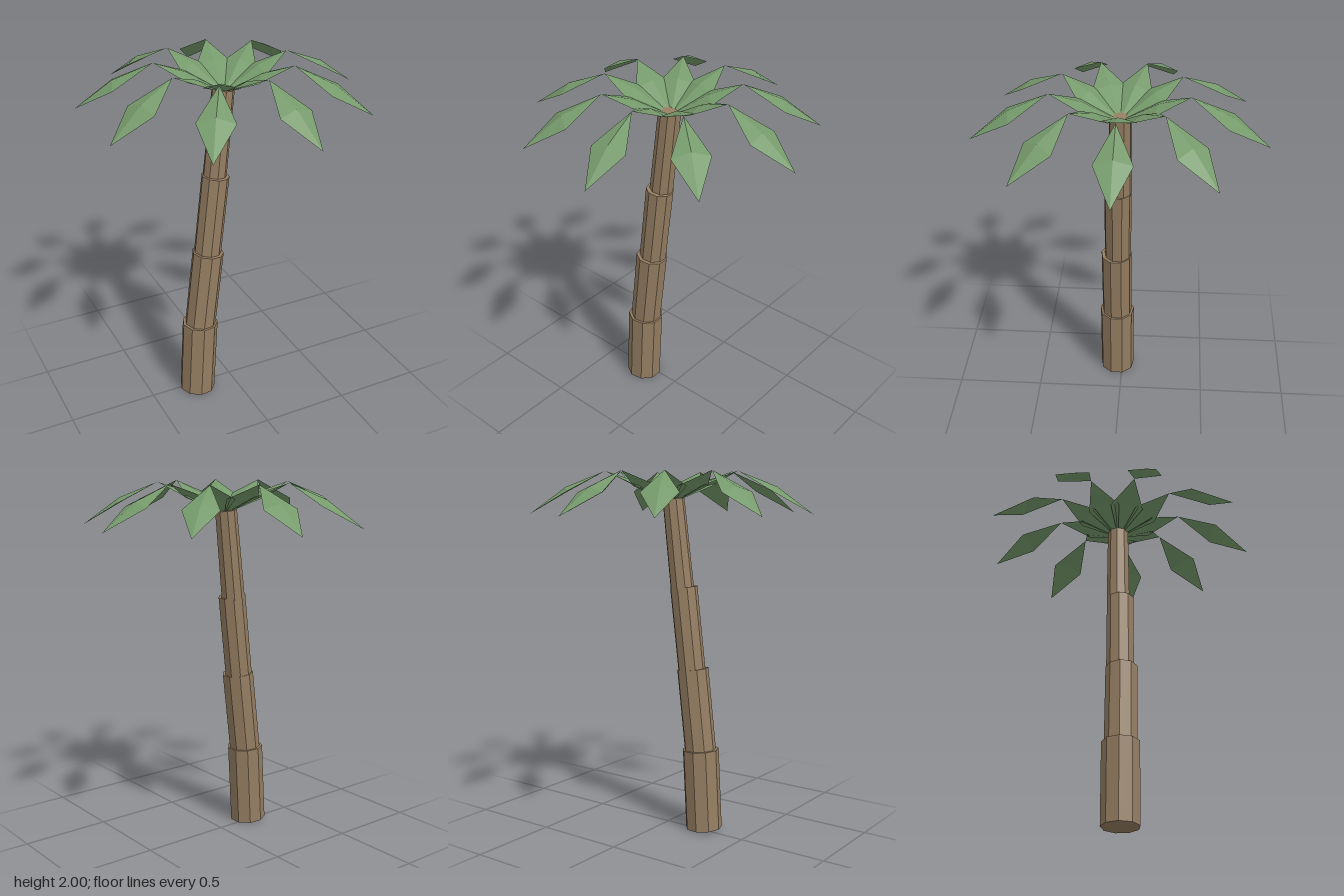
import * as THREE from 'three';

const bark = new THREE.MeshStandardMaterial({ color: 0x957e62, flatShading: true });
bark.name = 'bark brown';
const leaf = new THREE.MeshStandardMaterial({ color: 0x769a6c, flatShading: true, side: THREE.DoubleSide });
leaf.name = 'leaf green';

// Straight nine-sided trunk piece between two points
function trunkSegment(a, b, rBottom, rTop) {
  const from = new THREE.Vector3(...a), to = new THREE.Vector3(...b);
  const dir = to.clone().sub(from);
  const geo = new THREE.CylinderGeometry(rTop, rBottom, dir.length(), 9, 1, false, -Math.PI / 2);
  const mesh = new THREE.Mesh(geo, bark);
  mesh.position.copy(from).add(to).multiplyScalar(0.5);
  mesh.quaternion.setFromUnitVectors(new THREE.Vector3(0, 1, 0), dir.normalize());
  return mesh;
}

// Four-faced kite with a raised midpoint: [radius, height] for each point along the frond
function kite([r0, y0], [r1, y1], [r2, y2], halfWidth, droop) {
  const inner = [r0, y0, 0], mid = [r1, y1, 0], outer = [r2, y2, 0];
  const left = [r1, y1 - droop, halfWidth], right = [r1, y1 - droop, -halfWidth];
  const geo = new THREE.BufferGeometry();
  geo.setAttribute('position', new THREE.Float32BufferAttribute([
    inner, left, mid, inner, mid, right,
    outer, mid, left, outer, right, mid,
  ].flat(), 3));
  geo.computeVertexNormals();
  return geo;
}

export function createModel() {
  const palm = new THREE.Group();
  palm.name = 'palmTree';

  // Leaning trunk of four narrowing segments
  const trunk = new THREE.Group();
  trunk.name = 'trunk';
  [
    [[-0.227, 0.007, 0.03], [-0.202, 0.462, 0.03], 0.103, 0.103],
    [[-0.2, 0.455, 0.03], [-0.145, 0.915, 0.03], 0.089, 0.089],
    [[-0.145, 0.91, 0.022], [-0.09, 1.37, 0.018], 0.077, 0.077],
    [[-0.09, 1.36, 0.006], [-0.033, 1.85, 0], 0.066, 0.061],
  ].forEach((s, i) => {
    const seg = trunkSegment(...s);
    seg.name = `trunkSegment${i + 1}`;
    trunk.add(seg);
  });
  palm.add(trunk);

  // Crown of nine fronds, each a rising inner kite and a drooping outer one
  const crown = new THREE.Group();
  crown.name = 'crown';
  crown.position.x = -0.026;
  const innerGeo = kite([0, 1.83], [0.195, 1.945], [0.365, 2], 0.097, 0.025);
  const outerGeo = kite([0.365, 2], [0.575, 1.917], [0.776, 1.77], 0.097, 0.028);
  for (let i = 0; i < 9; i++) {
    const frond = new THREE.Group();
    frond.name = `frond${i + 1}`;
    const inner = new THREE.Mesh(innerGeo, leaf);
    inner.name = 'innerLeaf';
    const outer = new THREE.Mesh(outerGeo, leaf);
    outer.name = 'outerLeaf';
    frond.add(inner, outer);
    frond.rotation.y = (i / 9) * Math.PI * 2;
    crown.add(frond);
  }
  palm.add(crown);
  return palm;
}
